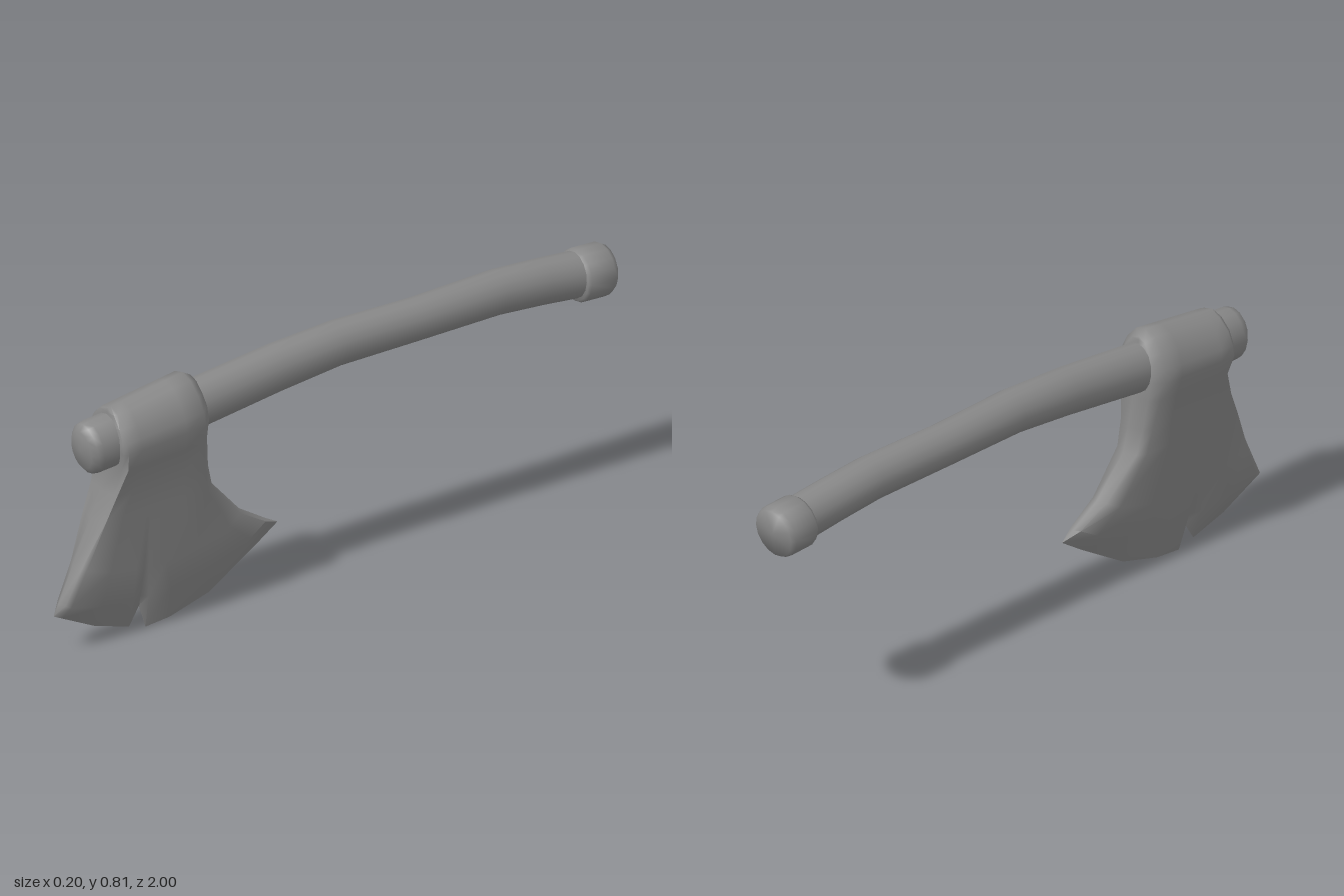
import * as THREE from 'three';
import { toCreasedNormals } from 'three/addons/utils/BufferGeometryUtils.js';

const material = new THREE.MeshStandardMaterial({ color: 0x888888 });

// Skins a list of equal-length closed loops of [x, y, z] points
function skin(name, loops) {
  const n = loops[0].length, index = [];
  for (let i = 0; i < loops.length - 1; i++) {
    for (let j = 0; j < n; j++) {
      const k = (j + 1) % n;
      const a = i * n + j, b = i * n + k, c = a + n, d = b + n;
      index.push(a, c, b, b, c, d);
    }
  }
  const geo = new THREE.BufferGeometry();
  geo.setAttribute('position', new THREE.Float32BufferAttribute(loops.flat(2), 3));
  geo.setIndex(index);
  const mesh = new THREE.Mesh(toCreasedNormals(geo, 1.2), material);
  mesh.name = name;
  return mesh;
}

// Elliptical rings from front to back; station = [z, y, rx, ry, tilt]
function shaft(name, stations) {
  const sides = 16;
  const loops = stations.map(([z, y, rx, ry, tilt]) =>
    Array.from({ length: sides }, (_, j) => {
      const a = (j / sides) * Math.PI * 2, s = Math.sin(a) * ry;
      return [Math.cos(a) * rx, y + s, z + s * tilt];
    }));
  return skin(name, loops);
}

// Mirrors one side across x; the front and back centre lines bulge out a little
function closeLoop(side, bulge) {
  const [, yf, zf] = side[0], [, yb, zb] = side[side.length - 1];
  const mirrored = side.map(([x, y, z]) => [-x, y, z]).reverse();
  return [[0, yf, zf + bulge], ...side, [0, yb, zb - bulge], ...mirrored];
}

function axeHead() {
  // Cutting edge from front corner to rear corner [z, y], with a nick
  const edge = [[1, 0.13], [0.97, 0.115], [0.85, 0.055], [0.727, 0.018], [0.69, 0.08],
    [0.668, 0], [0.58, 0.008], [0.44, 0.048], [0.27, 0.155], [0.19, 0.21]];
  // Rows from the crown down: half width, front z, y, back z, y, sag, bulge
  const rows = [
    [0, 0.805, 0.766, 0.505, 0.81, 0, 0],
    [0.04, 0.807, 0.754, 0.503, 0.797, 0, 0],
    [0.075, 0.81, 0.72, 0.498, 0.757, 0, 0],
    [0.095, 0.81, 0.68, 0.492, 0.71, 0, 0],
    [0.1, 0.81, 0.645, 0.487, 0.665, 0, 0],
    [0.083, 0.8, 0.585, 0.48, 0.6, 0, 0.006],
    [0.067, 0.832, 0.5, 0.46, 0.5, 0, 0.015],
    [0.058, 0.868, 0.42, 0.44, 0.42, 0, 0.015],
    [0.041, 0.932, 0.28, 0.33, 0.295, 0.07, 0.015],
    [0.029, 0.984, 0.165, 0.235, 0.235, 0.08, 0.012],
  ];
  const last = edge.length - 1, nick = 4;
  const loops = rows.map(([w, zf, yf, zb, yb, sag, bulge], r) => {
    const side = edge.map(([ez], j) => {
      const t = (1 - ez) / 0.81;
      let y = yf + (yb - yf) * t - sag * 4 * t * (1 - t);
      let z = zf + (zb - zf) * t, taper = 1;
      if (j === 0) { taper = r < 5 ? 0.9 : 0.72; z -= bulge; }
      if (j === last) { taper = 0.7; z += bulge; }
      if (j === last && r < 3) y = 0.67 + (y - 0.67) * 0.85; // rounded rear rim
      if (j === nick && r === rows.length - 1) taper = 0.5; // thinner above the nick
      return [w * taper, y, z];
    });
    return closeLoop(side, bulge);
  });
  loops.push(closeLoop(edge.map(([z, y]) => [0, y, z]), 0));
  return skin('axeHead', loops);
}

export function createModel() {
  const group = new THREE.Group();
  group.name = 'axe';

  group.add(axeHead());

  // Curved handle with a domed front end passing through the head
  group.add(shaft('handle', [
    [0.906, 0.653, 0, 0, 0.1],
    [0.9, 0.653, 0.052, 0.062, 0.1],
    [0.885, 0.654, 0.068, 0.081, 0.1],
    [0.865, 0.656, 0.072, 0.085, 0.1],
    [0.79, 0.662, 0.072, 0.085, 0.1],
    [0.5, 0.688, 0.068, 0.078, 0.1],
    [0.2, 0.724, 0.067, 0.075, 0.1],
    [-0.02, 0.741, 0.066, 0.07, 0.04],
    [-0.3, 0.737, 0.064, 0.067, 0],
    [-0.6, 0.741, 0.066, 0.07, -0.04],
    [-0.76, 0.729, 0.067, 0.071, -0.1],
    [-0.95, 0.71, 0.068, 0.073, -0.1],
  ]));

  // Butt cap at the rear of the handle
  group.add(shaft('buttCap', [
    [-0.882, 0.713, 0, 0, -0.06],
    [-0.882, 0.713, 0.077, 0.076, -0.06],
    [-0.892, 0.712, 0.083, 0.083, -0.06],
    [-0.975, 0.708, 0.083, 0.083, -0.08],
    [-0.991, 0.707, 0.075, 0.075, -0.08],
    [-0.995, 0.707, 0, 0, -0.08],
  ]));

  return group;
}
